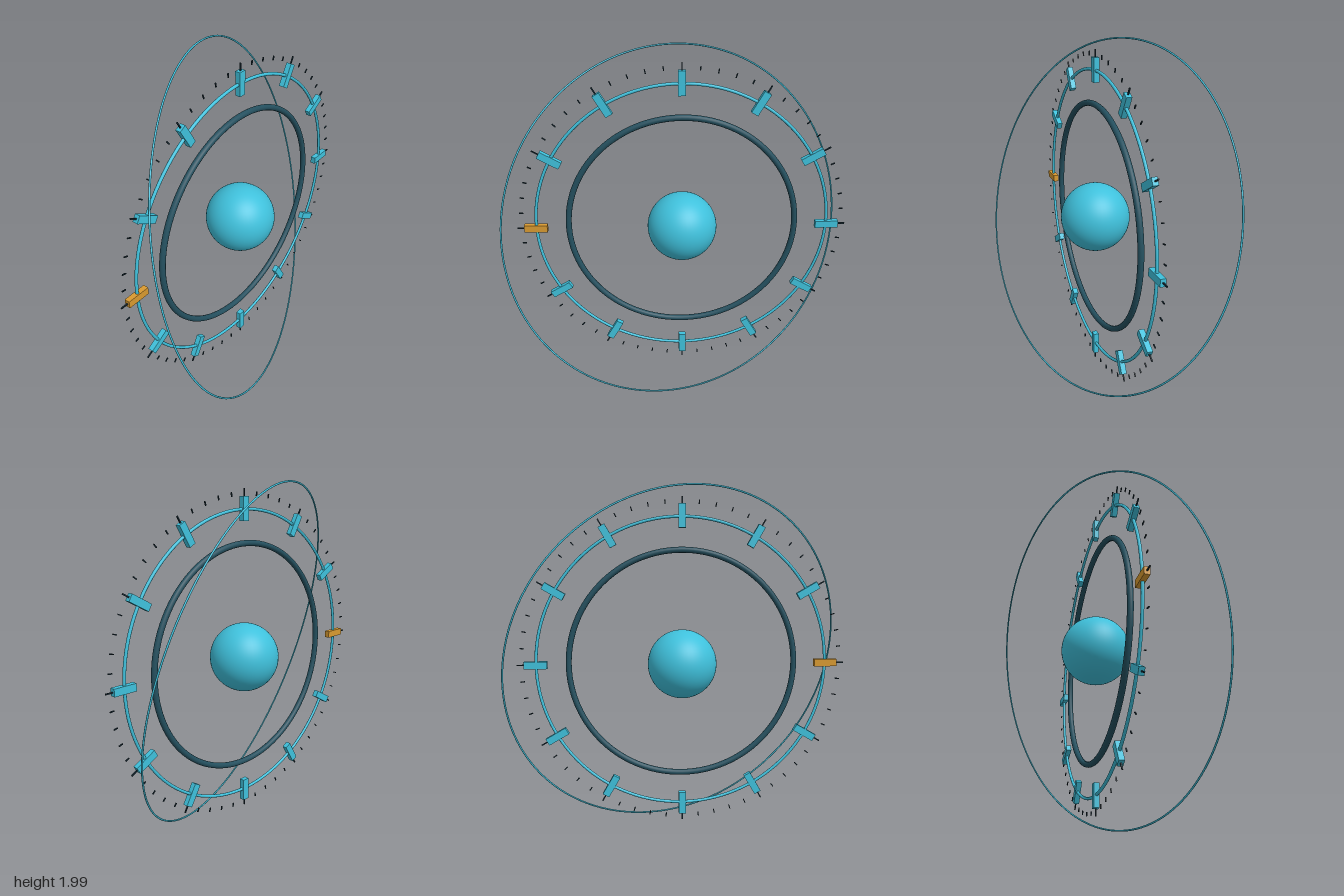
import * as THREE from 'three';

const mat = (name, color) => Object.assign(new THREE.MeshStandardMaterial({ color }), { name });

export function createModel() {
  const cyan = mat('cyan', 0x3fc1dc);
  const darkTeal = mat('dark teal', 0x24505f);
  const ink = mat('ink', 0x1a2f3a);
  const amber = mat('amber', 0xd99a30);

  const model = new THREE.Group();
  model.name = 'orbitalDial';
  const dial = new THREE.Group();
  dial.name = 'dial';
  dial.position.y = 1;
  model.add(dial);

  const add = (name, geometry, material) => {
    const mesh = new THREE.Mesh(geometry, material);
    mesh.name = name;
    dial.add(mesh);
    return mesh;
  };
  // Places a mesh on the dial circle with its long axis pointing outwards
  const placeRadially = (mesh, radius, angle) => {
    mesh.position.set(Math.cos(angle) * radius, Math.sin(angle) * radius, 0);
    mesh.rotation.z = angle;
  };

  // Central ball
  add('core', new THREE.SphereGeometry(0.2, 48, 32), cyan);

  // Upright concentric rings
  add('innerRing', new THREE.TorusGeometry(0.655, 0.017, 16, 128), darkTeal);
  add('hourRing', new THREE.TorusGeometry(0.841, 0.009, 12, 128), cyan);

  // Thin tilted orbit ring
  const orbit = add('orbitRing', new THREE.TorusGeometry(1.024, 0.005, 10, 160), cyan);
  orbit.quaternion.setFromUnitVectors(
    new THREE.Vector3(0, 0, 1),
    new THREE.Vector3(0.333, 0.256, 0.908).normalize()
  );

  // Twelve hour blocks, the one at the model's right is amber
  const block = new THREE.BoxGeometry(0.133, 0.042, 0.031);
  for (let i = 0; i < 12; i++) {
    const marked = i === 6;
    const mesh = add(marked ? 'markedHourBlock' : 'hourBlock', block, marked ? amber : cyan);
    placeRadially(mesh, 0.844, (i / 12) * Math.PI * 2);
  }

  // Sixty ticks, longer at every fifth
  const minorTick = new THREE.BoxGeometry(0.024, 0.006, 0.006);
  const majorTick = new THREE.BoxGeometry(0.054, 0.007, 0.007);
  for (let i = 0; i < 60; i++) {
    const major = i % 5 === 0;
    const mesh = add(major ? 'majorTick' : 'minorTick', major ? majorTick : minorTick, ink);
    placeRadially(mesh, 0.925, (i / 60) * Math.PI * 2);
  }

  return model;
}
